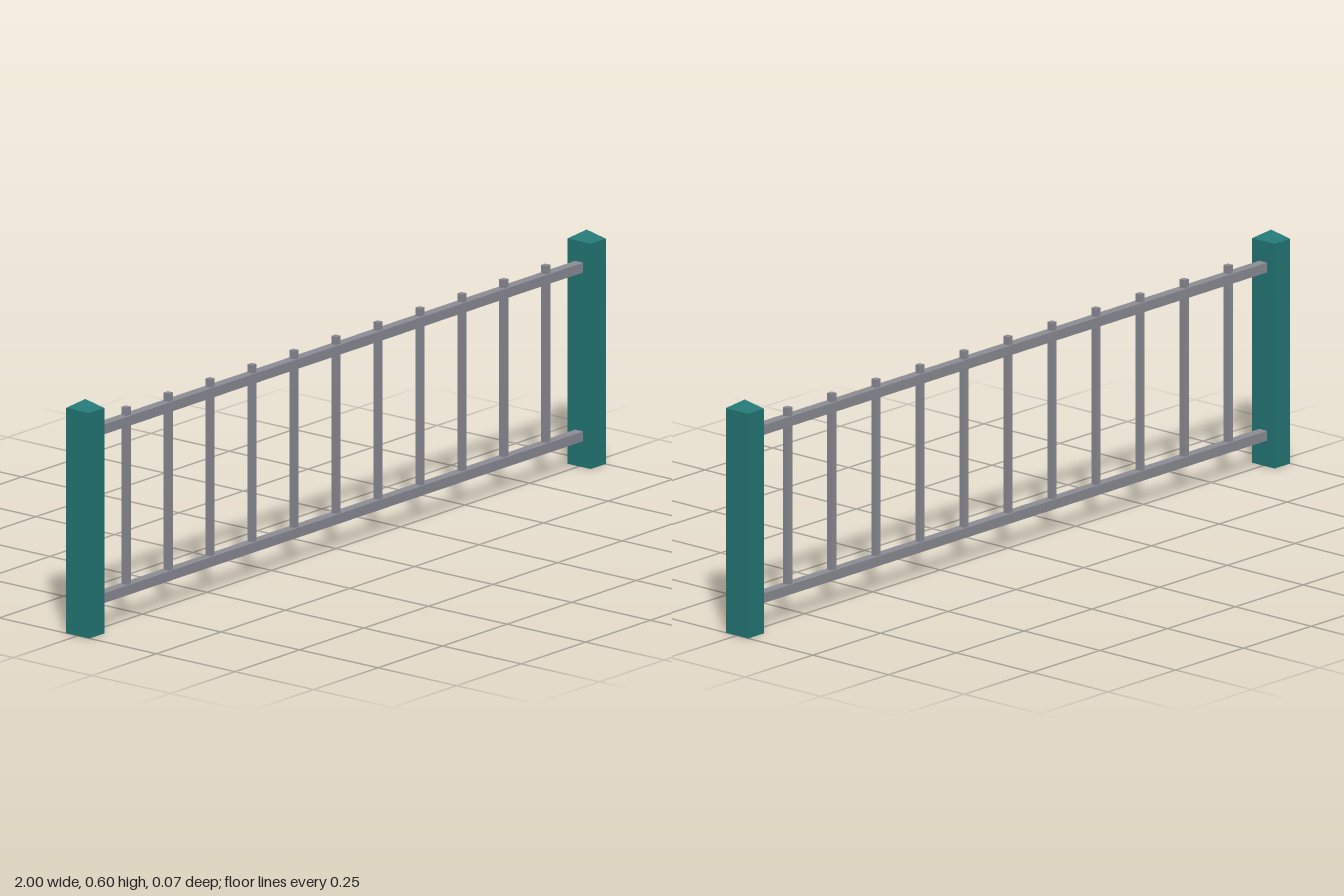
import * as THREE from 'three';

export function createModel() {
  const model = new THREE.Group();
  model.name = 'fencePanel';

  const teal = new THREE.MeshStandardMaterial({ color: 0x237876 });
  teal.name = 'teal paint';
  const grey = new THREE.MeshStandardMaterial({ color: 0x8c8d96 });
  grey.name = 'grey metal';

  function box(name, material, w, h, d, x, bottom, parent) {
    const mesh = new THREE.Mesh(new THREE.BoxGeometry(w, h, d), material);
    mesh.name = name;
    mesh.position.set(x, bottom + h / 2, 0);
    parent.add(mesh);
  }

  // End posts with low pyramid caps
  const postW = 0.058, postD = 0.074, postH = 0.577, capH = 0.023;
  for (const side of [-1, 1]) {
    const post = new THREE.Group();
    post.name = side > 0 ? 'leftPost' : 'rightPost';
    post.position.x = side * (1 - postW / 2);
    box('postShaft', teal, postW, postH, postD, 0, 0, post);

    const capGeometry = new THREE.ConeGeometry(Math.SQRT1_2, capH, 4, 1, true)
      .rotateY(Math.PI / 4)
      .scale(postW, 1, postD)
      .toNonIndexed();
    capGeometry.computeVertexNormals();
    const cap = new THREE.Mesh(capGeometry, teal);
    cap.name = 'postCap';
    cap.position.y = postH + capH / 2;
    post.add(cap);
    model.add(post);
  }

  // Horizontal rails between the posts
  const railLength = 2 * (1 - postW) + 0.02;
  box('lowerRail', grey, railLength, 0.025, 0.026, 0, 0.067, model);
  box('upperRail', grey, railLength, 0.025, 0.026, 0, 0.499, model);

  // Upright bars, rising just above the upper rail
  const bars = new THREE.Group();
  bars.name = 'bars';
  for (let i = -5; i <= 5; i++) {
    box('bar', grey, 0.016, 0.465, 0.016, i * 0.1625, 0.08, bars);
  }
  model.add(bars);

  return model;
}
